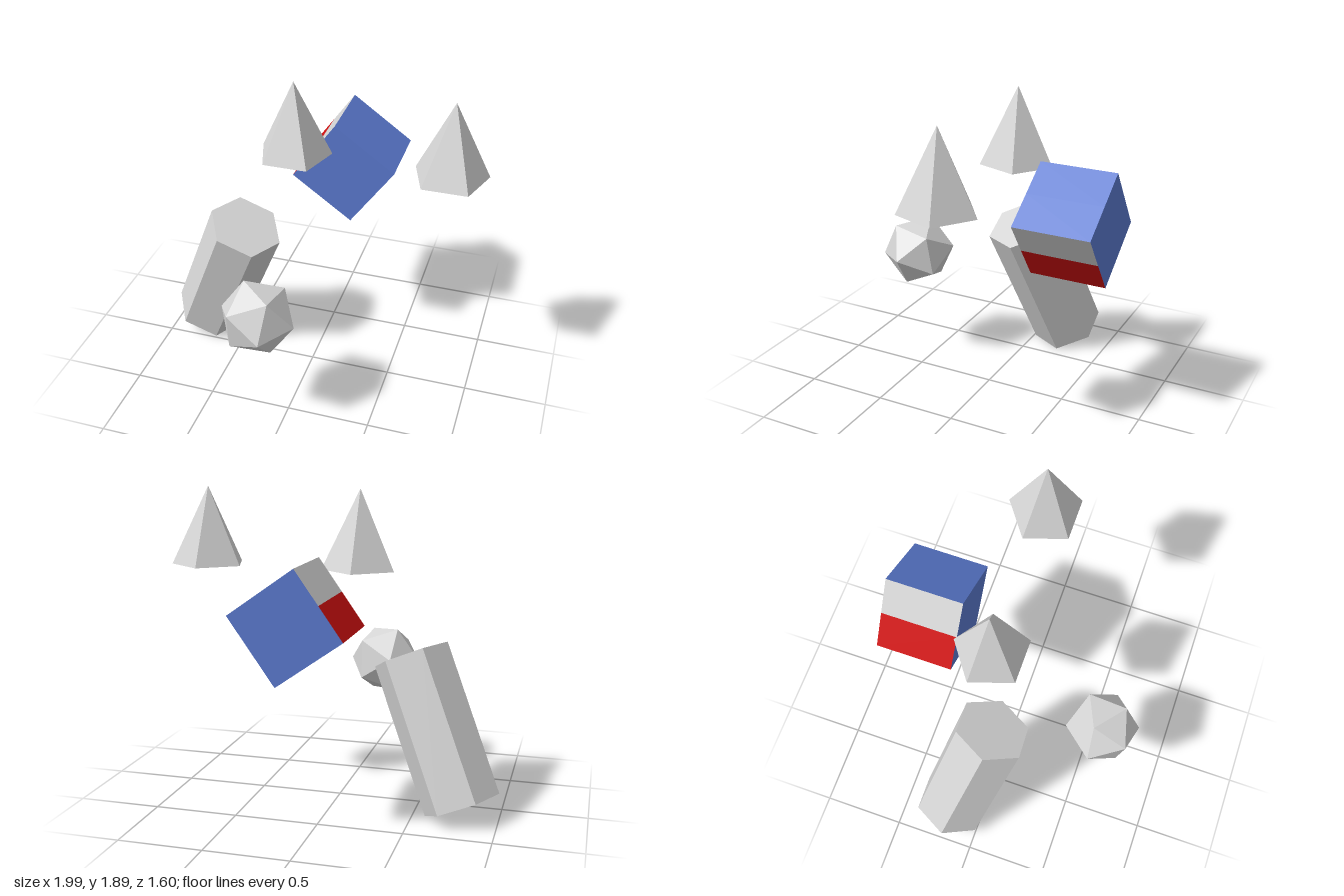
import * as THREE from 'three';

const V = (x, y, z) => new THREE.Vector3(x, y, z);

// Turns a mesh so its local y follows "up" and its local z follows "front"
function orient(mesh, up, front) {
  const y = up.clone().normalize();
  const x = y.clone().cross(front).normalize();
  const z = x.clone().cross(y);
  mesh.quaternion.setFromRotationMatrix(new THREE.Matrix4().makeBasis(x, y, z));
}

export function createModel() {
  const model = new THREE.Group();
  model.name = 'floatingSolids';

  const flat = (name, color) => {
    const m = new THREE.MeshStandardMaterial({ color, flatShading: true });
    m.name = name;
    return m;
  };
  const grey = flat('lightGrey', 0xd6d6d6);
  const blue = flat('blue', 0x5b7ad0);
  const red = flat('red', 0xd01010);

  const add = (name, geometry, material, x, y, z) => {
    const mesh = new THREE.Mesh(geometry, material);
    mesh.name = name;
    mesh.position.set(x, y, z);
    model.add(mesh);
    return mesh;
  };

  // Two five-sided cones, one corner pointing back
  const coneGeometry = new THREE.ConeGeometry(0.225, 0.46, 5);
  for (const [name, x] of [['rightCone', -0.15], ['leftCone', 0.777]]) {
    add(name, coneGeometry, grey, x, 1.66, -0.11).rotation.y = Math.PI;
  }

  // Leaning six-sided prism
  const prism = add('hexagonalPrism', new THREE.CylinderGeometry(0.23, 0.23, 0.924, 6),
    grey, -0.612, 0.506, -0.109);
  orient(prism, V(0.35, 0.835, 0.185), V(-0.2125, 0.085, 0.015));

  // Twenty-sided ball, placed by two neighbouring corners
  const ball = add('twentySidedBall', new THREE.IcosahedronGeometry(0.229, 0),
    grey, -0.148, 0.74, 0.587);
  const a = V(-0.092, 0.205, -0.045), b = V(0.1, 0.17, 0.105);
  const up = a.clone().add(b);
  orient(ball, up, b.clone().sub(a).cross(up));

  // Tilted cube: blue top, front and back; other faces half grey, half red
  const cubeGeometry = new THREE.BoxGeometry(0.46, 0.46, 0.46, 2, 2, 1);
  cubeGeometry.clearGroups();
  const GREY = 0, RED = 1, BLUE = 2;
  for (const start of [0, 12, 36]) {
    cubeGeometry.addGroup(start, 6, GREY);
    cubeGeometry.addGroup(start + 6, 6, RED);
  }
  cubeGeometry.addGroup(24, 12, BLUE);
  cubeGeometry.addGroup(48, 48, BLUE);
  const cube = add('paintedCube', cubeGeometry, [grey, red, blue], 0.085, 1.203, -0.57);
  cube.rotation.z = -0.614;

  return model;
}
